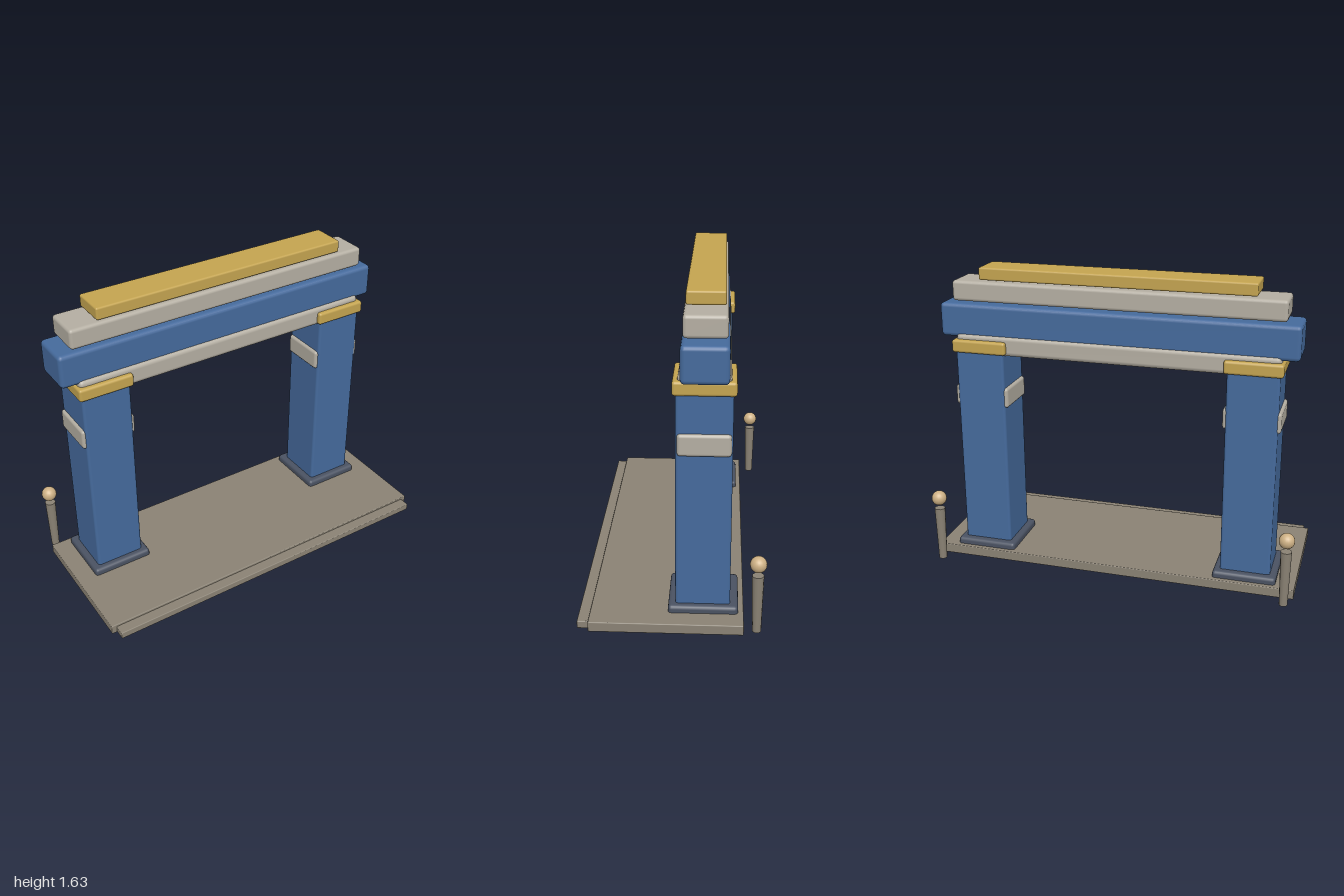
import * as THREE from 'three';
import { RoundedBoxGeometry } from 'three/addons/geometries/RoundedBoxGeometry.js';

const mat = (color) => new THREE.MeshStandardMaterial({ color });
const blue = mat(0x456a9c), gold = mat(0xc4a450), marble = mat(0xb4aea2);
const stone = mat(0x8a8274), slate = mat(0x4a5262), brass = mat(0xcdb084);

// Rounded block given by its limits on each axis
function block(name, material, [x0, x1], [y0, y1], [z0, z1], radius) {
  const geometry = new RoundedBoxGeometry(x1 - x0, y1 - y0, z1 - z0, 2, radius);
  const mesh = new THREE.Mesh(geometry, material);
  mesh.position.set((x0 + x1) / 2, (y0 + y1) / 2, (z0 + z1) / 2);
  mesh.name = name;
  return mesh;
}

// Square pillar with plinth, band and capital, centred on x = 0
function createPillar(name) {
  const pillar = new THREE.Group();
  pillar.name = name;
  pillar.add(
    block('plinth', slate, [-0.168, 0.168], [0.01, 0.097], [-0.33, 0.015], 0.018),
    block('shaft', blue, [-0.134, 0.134], [0.004, 1.2], [-0.29, -0.02], 0.015),
    block('band', marble, [-0.15, 0.15], [0.885, 0.995], [-0.284, -0.028], 0.016),
    block('capital', gold, [-0.15, 0.15], [1.182, 1.252], [-0.305, -0.005], 0.014),
  );
  return pillar;
}

// Tapered post carrying a ball
function createPost(name) {
  const post = new THREE.Group();
  post.name = name;
  const shaft = new THREE.Mesh(new THREE.CylinderGeometry(0.029, 0.022, 0.305, 12), stone);
  shaft.name = 'postShaft';
  shaft.position.y = 0.162;
  const ball = new THREE.Mesh(new THREE.SphereGeometry(0.041, 20, 14), brass);
  ball.name = 'postBall';
  ball.position.y = 0.374;
  post.add(shaft, ball);
  return post;
}

export function createModel() {
  const gate = new THREE.Group();
  gate.name = 'gateway';

  // Floor slab and low front step
  gate.add(
    block('platform', stone, [-1, 1], [0.008, 0.061], [-0.357, 0.398], 0.005),
    block('frontStep', stone, [-0.972, 0.972], [0.008, 0.048], [0.36, 0.455], 0.005),
  );

  // Mirrored pillars and rear posts
  for (const [side, s] of [['left', 1], ['right', -1]]) {
    const pillar = createPillar(side + 'Pillar');
    pillar.position.x = s * 0.73;
    const post = createPost(side + 'Post');
    post.position.set(s * 0.955, 0, -0.42);
    gate.add(pillar, post);
  }

  // Stacked beams across the top
  gate.add(
    block('lintel', marble, [-0.865, 0.865], [1.172, 1.282], [-0.28, -0.03], 0.025),
    block('mainBeam', blue, [-0.953, 0.953], [1.26, 1.441], [-0.27, -0.045], 0.022),
    block('upperBeam', marble, [-0.88, 0.88], [1.453, 1.562], [-0.261, -0.054], 0.018),
    block('topRidge', gold, [-0.73, 0.73], [1.569, 1.636], [-0.25, -0.063], 0.01),
  );
  return gate;
}
